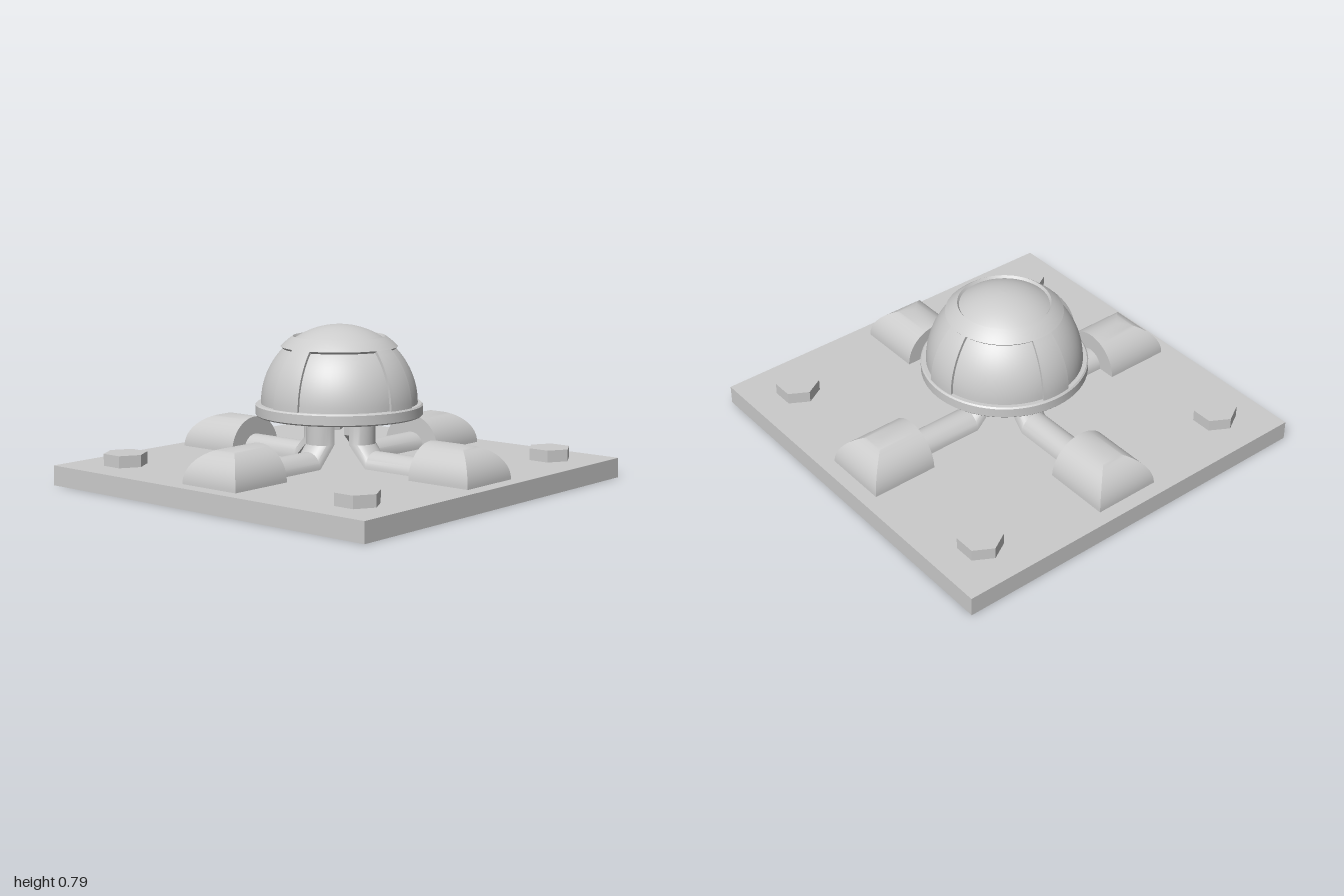
import * as THREE from 'three';
import { toCreasedNormals } from 'three/addons/utils/BufferGeometryUtils.js';

const material = new THREE.MeshStandardMaterial({ color: 0xcccccc });
const thinMaterial = new THREE.MeshStandardMaterial({ color: 0xcccccc, side: THREE.DoubleSide });

function add(parent, name, geometry, mat = material) {
  const mesh = new THREE.Mesh(geometry, mat);
  mesh.name = name;
  parent.add(mesh);
  return mesh;
}

// Skin a list of closed rings (arrays of [x, y, z]) with quads
function loft(rings) {
  const pos = [];
  const n = rings[0].length;
  for (let i = 0; i < rings.length - 1; i++) {
    for (let j = 0; j < n; j++) {
      const k = (j + 1) % n;
      const a = rings[i][j], b = rings[i][k], c = rings[i + 1][k], d = rings[i + 1][j];
      pos.push(...a, ...b, ...c, ...a, ...c, ...d);
    }
  }
  const g = new THREE.BufferGeometry();
  g.setAttribute('position', new THREE.Float32BufferAttribute(pos, 3));
  return toCreasedNormals(g, 0.5);
}

// Points on a circular arc, by angle measured down from the vertical axis
function arc(radius, from, to, steps) {
  return Array.from({ length: steps + 1 }, (_, i) => {
    const a = from + (to - from) * i / steps;
    return new THREE.Vector2(Math.max(0, radius * Math.sin(a)), DOME_Y + radius * Math.cos(a));
  });
}

// Closed profile of a shell band, outer side going up
function band(from, to, steps) {
  const pts = [...arc(SHELL, to, from, steps), ...arc(INNER, from, to, steps)];
  return [...pts, pts[0].clone()];
}

const DOME_Y = 0.4, DOME = 0.39, SHELL = 0.405, INNER = 0.38;
const CAP_ANGLE = 0.604, PANEL_ANGLE = 0.8, RIB_HALF = 0.195;

// Half-round pipe: runs out along the plate, bends and rises to the dome
function pipeGeometry() {
  const r = 0.08, steps = 16;
  const stations = [
    [0.13, 0.36, 1, 0], [0.13, 0.21, 1, 0],
    [0.235, 0.1, 0, 1], [0.6, 0.1, 0, 1],
  ];
  return loft(stations.map(([x, y, nx, ny]) =>
    Array.from({ length: steps + 1 }, (_, j) => {
      const t = Math.PI * j / steps, h = r * Math.sin(t);
      return [x + nx * h, y + ny * h, -r * Math.cos(t)];
    })));
}

// Vaulted cover: rounded over its sides and its outer end, flat at the inner end
function coverGeometry() {
  const r = 0.172, x0 = 0.577, xc = 0.753, steps = 18, rings = [];
  for (let i = 0; i <= steps; i++) {
    const a = Math.PI / 2 * i / steps;
    const w = r * Math.cos(a), y = 0.1 + 0.17 * Math.sin(a), x1 = xc + w;
    rings.push([[x1, y, w], [x1, y, -w], [x0, y, -w], [x0, y, w]]);
  }
  return loft(rings);
}

export function createModel() {
  const model = new THREE.Group();
  model.name = 'domedFixture';

  // Base plate
  add(model, 'basePlate', new THREE.BoxGeometry(2, 0.1, 2)).position.y = 0.05;

  // Hexagonal bolt heads near the corners
  const bolt = toCreasedNormals(new THREE.CylinderGeometry(0.11, 0.11, 0.06, 6), 0.5);
  for (const x of [-0.75, 0.75]) {
    for (const z of [-0.75, 0.75]) add(model, 'bolt', bolt).position.set(x, 0.13, z);
  }

  // Dome and its rim
  const domeProfile = arc(DOME, Math.PI / 2, 0, 24);
  add(model, 'dome', new THREE.LatheGeometry(domeProfile, 64));
  const rimProfile = [
    [0, 0.34], [0.41, 0.34], [0.417, 0.347], [0.417, 0.393], [0.41, 0.4], [0.37, 0.4],
  ].map(([x, y]) => new THREE.Vector2(x, y));
  add(model, 'domeRim', toCreasedNormals(new THREE.LatheGeometry(rimProfile, 64), 0.6));

  // Raised collar around the crown
  const collar = new THREE.LatheGeometry(band(CAP_ANGLE, PANEL_ANGLE, 6), 64);
  add(model, 'crownCollar', toCreasedNormals(collar, 0.6));

  // Four arms, each with a dome rib, a pipe and an end cover
  const rib = toCreasedNormals(new THREE.LatheGeometry(
    band(PANEL_ANGLE, Math.PI / 2, 12), 8, Math.PI / 2 - RIB_HALF, 2 * RIB_HALF), 0.6);
  const ribSide = new THREE.RingGeometry(INNER, SHELL, 12, 1, 0, Math.PI / 2 - PANEL_ANGLE);
  const pipe = pipeGeometry();
  const cover = coverGeometry();
  for (let i = 0; i < 4; i++) {
    const arm = new THREE.Group();
    arm.name = 'arm';
    arm.rotation.y = i * Math.PI / 2;
    add(arm, 'domeRib', rib);
    for (const s of [-1, 1]) {
      const side = add(arm, 'ribSide', ribSide, thinMaterial);
      side.position.y = DOME_Y;
      side.rotation.y = s * RIB_HALF;
    }
    add(arm, 'pipe', pipe);
    add(arm, 'endCover', cover);
    model.add(arm);
  }
  return model;
}
